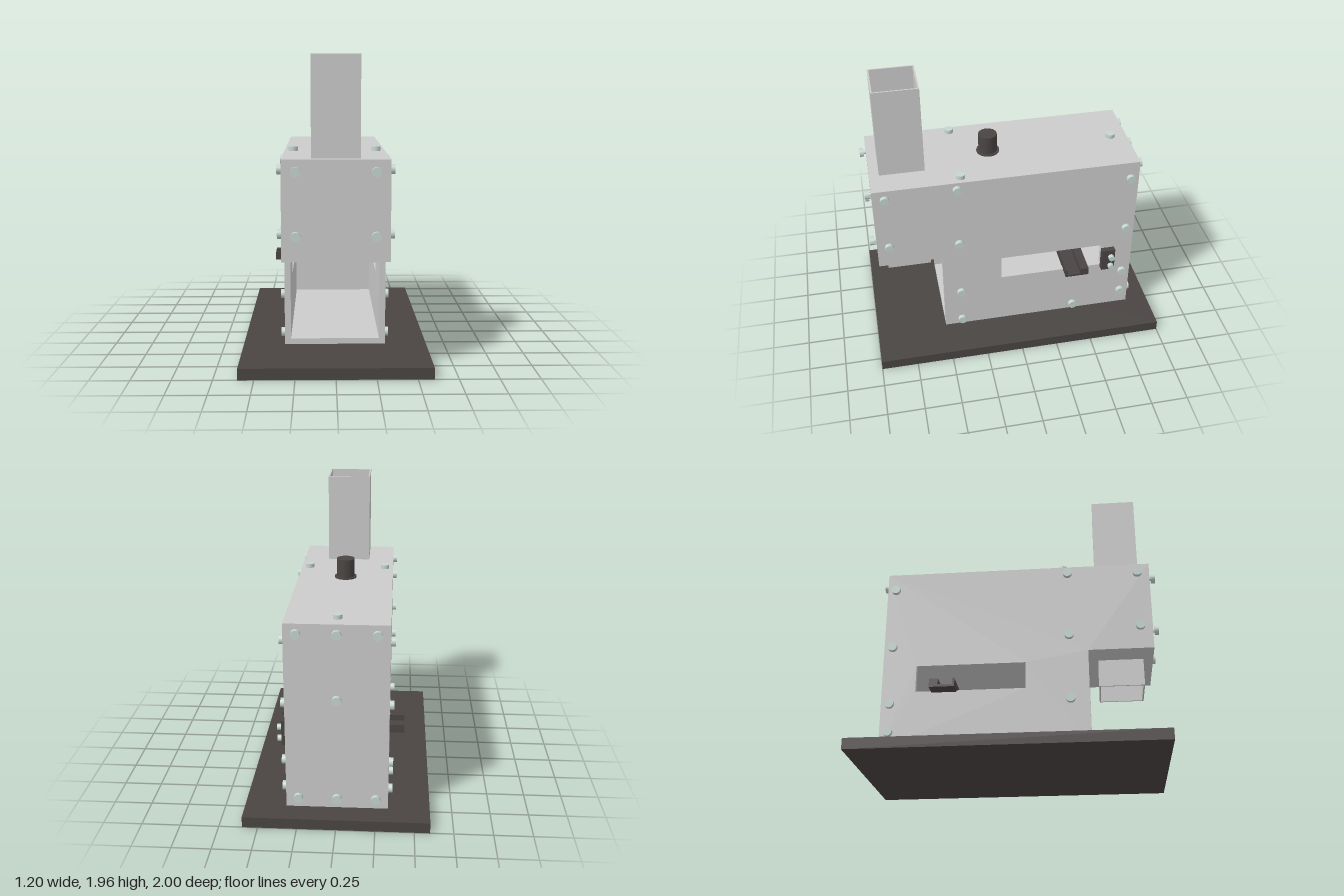
import * as THREE from 'three';

const grey = new THREE.MeshStandardMaterial({ color: 0xcccccc });
const dark = new THREE.MeshStandardMaterial({ color: 0x4a4543 });
const steel = new THREE.MeshStandardMaterial({ color: 0xc5d5d0 });

const points = (list) => list.map(([a, b]) => new THREE.Vector2(a, b));
const rect = (a0, a1, b0, b1) => points([[a0, b0], [a1, b0], [a1, b1], [a0, b1]]);

function extrude(outline, hole, depth) {
  const shape = new THREE.Shape(outline);
  if (hole) shape.holes.push(new THREE.Path(hole));
  return new THREE.ExtrudeGeometry(shape, { depth, bevelEnabled: false });
}

export function createModel() {
  const model = new THREE.Group();

  function add(parent, name, geometry, material) {
    const mesh = new THREE.Mesh(geometry, material);
    mesh.name = name;
    parent.add(mesh);
    return mesh;
  }
  // Box given by its limits
  function box(parent, name, material, x0, x1, y0, y1, z0, z1) {
    const g = new THREE.BoxGeometry(x1 - x0, y1 - y0, z1 - z0);
    add(parent, name, g.translate((x0 + x1) / 2, (y0 + y1) / 2, (z0 + z1) / 2), material);
  }
  // Profile in (z, y), running from x0 to x1
  function alongX(parent, name, material, outline, hole, x0, x1) {
    const g = extrude(outline, hole, x1 - x0).rotateY(-Math.PI / 2).translate(x1, 0, 0);
    add(parent, name, g, material);
  }
  // Outline in (x, z), running from y0 to y1
  function alongY(parent, name, material, outline, hole, y0, y1) {
    const g = extrude(outline, hole, y1 - y0).rotateX(Math.PI / 2).translate(0, y1, 0);
    add(parent, name, g, material);
  }

  box(model, 'basePlate', dark, -0.6, 0.6, 0, 0.072, -1, 1);

  // Hollow housing made of plates
  const housing = new THREE.Group();
  housing.name = 'housing';
  model.add(housing);
  const sideOutline = points([[-0.843, 0.072], [0.512, 0.072], [0.512, 0.715],
    [0.94, 0.715], [0.94, 1.337], [-0.843, 1.337]]);
  const slot = rect(-0.62, 0.1, 0.465, 0.645);
  alongX(housing, 'leftSidePlate', grey, sideOutline, slot, 0.29, 0.33);
  alongX(housing, 'rightSidePlate', grey, sideOutline, slot, -0.33, -0.29);
  const chuteOutline = rect(-0.15, 0.15, 0.575, 0.875);
  alongY(housing, 'topPlate', grey, rect(-0.29, 0.29, -0.843, 0.94), chuteOutline, 1.297, 1.337);
  alongY(housing, 'headBottomPlate', grey, rect(-0.29, 0.29, 0.472, 0.94), chuteOutline, 0.715, 0.755);
  box(housing, 'headFrontPlate', grey, -0.29, 0.29, 0.755, 1.297, 0.9, 0.94);
  box(housing, 'backPlate', grey, -0.29, 0.29, 0.072, 1.297, -0.843, -0.803);
  box(housing, 'floorPlate', grey, -0.29, 0.29, 0.072, 0.11, -0.803, 0.512);
  box(housing, 'openingLip', grey, -0.29, 0.29, 0.69, 0.715, 0.472, 0.512);
  box(housing, 'innerCeiling', grey, -0.29, 0.29, 0.65, 0.69, -0.803, 0.472);

  // Open square chute passing through the head
  alongY(model, 'chute', grey, chuteOutline, rect(-0.14, 0.14, 0.585, 0.865), 0.53, 1.957);

  // Channel bar passing through the side slots
  const channel = points([[-0.513, 0.455], [-0.348, 0.455], [-0.348, 0.512], [-0.362, 0.512],
    [-0.362, 0.471], [-0.455, 0.471], [-0.455, 0.512], [-0.513, 0.512]]);
  alongX(model, 'channelBar', dark, channel, null, -0.43, 0.405);

  // Knob with a thin flange
  const knobProfile = points([[0, 0], [0.077, 0], [0.077, 0.009], [0.0625, 0.009], [0.0625, 0.135], [0, 0.135]]);
  const knobGeometry = new THREE.LatheGeometry(knobProfile, 40).toNonIndexed();
  knobGeometry.computeVertexNormals();
  add(model, 'knob', knobGeometry, dark).position.set(0, 1.337, 0.13);

  // Sensor block beside the slot
  box(model, 'sensorBlock', dark, 0.33, 0.37, 0.445, 0.617, -0.712, -0.618);

  // Screws: a head on a short shank, pointing along the given normal
  const screws = new THREE.Group();
  screws.name = 'screws';
  model.add(screws);
  const up = new THREE.Vector3(0, 1, 0);
  const headGeometry = new THREE.CylinderGeometry(0.03, 0.03, 0.028, 24);
  const shankGeometry = new THREE.CylinderGeometry(0.014, 0.014, 0.03, 12);
  function screw(position, normal, gap = 0, size = 1) {
    const group = new THREE.Group();
    group.name = 'screw';
    add(group, 'screwHead', headGeometry, steel).position.y = gap + 0.014;
    add(group, 'screwShank', shankGeometry, steel).position.y = gap - 0.012;
    group.position.set(...position);
    group.quaternion.setFromUnitVectors(up, new THREE.Vector3(...normal));
    group.scale.set(size, 1, size);
    screws.add(group);
  }
  const sideScrews = [[0.86, 1.27], [0.86, 0.875], [0.39, 1.285], [0.39, 0.828], [0.39, 0.382], [0.39, 0.12],
    [-0.427, 0.12], [-0.785, 1.213], [-0.785, 0.785], [-0.785, 0.383], [-0.785, 0.192]];
  for (const s of [-1, 1]) {
    for (const [z, y] of sideScrews) screw([s * 0.33, y, z], [s, 0, 0]);
    for (const y of [0.875, 1.265]) screw([s * 0.243, y, 0.94], [0, 0, 1], 0.014);
    screw([s * 0.272, 1.337, 0.357], [0, 1, 0]);
  }
  screw([0, 1.337, -0.728], [0, 1, 0]);
  for (const [x, y] of [[-0.25, 1.275], [0, 1.275], [0.25, 1.275], [0, 0.84], [-0.25, 0.145], [0, 0.145], [0.25, 0.145]])
    screw([x, y, -0.843], [0, 0, -1], 0.007);
  for (const y of [0.482, 0.562]) screw([0.37, y, -0.683], [1, 0, 0], 0, 0.7);

  return model;
}
